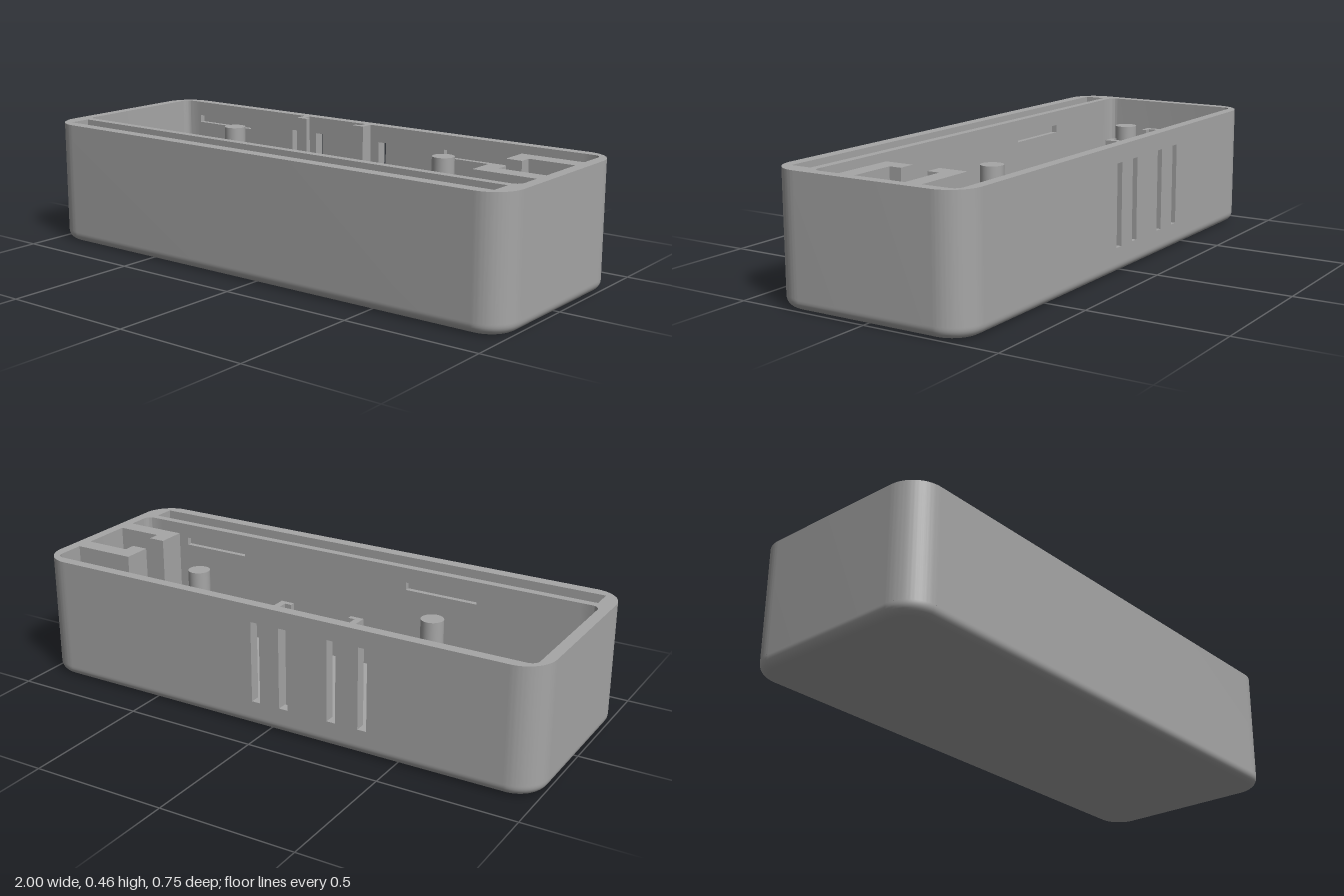
import * as THREE from 'three';
import { toCreasedNormals } from 'three/addons/utils/BufferGeometryUtils.js';

const TOP = 0.458, FLOOR = 0.04;
const CX = 0.89, CZ = 0.264, R = 0.11;   // outer corner centres and radius
const FILLET = 0.035;
const Q = Math.PI / 2;

// Rectangle path from x0..x1, y0..y1
function rect(x0, x1, y0, y1, Type = THREE.Shape) {
  const s = new Type();
  s.moveTo(x0, y0).lineTo(x1, y0).lineTo(x1, y1).lineTo(x0, y1).closePath();
  return s;
}

// Plan shape (x, z) extruded from the rim down to the floor
function upright(shape) {
  const g = new THREE.ExtrudeGeometry(shape, { depth: TOP - FLOOR, bevelEnabled: false, curveSegments: 14 });
  g.rotateX(Q).translate(0, TOP, 0);
  return toCreasedNormals(g, 0.5);
}

// Wall panel in the xy plane with rectangular openings [x0, x1, y0, y1]
function panel(z0, z1, openings) {
  const s = rect(-CX, CX, FLOOR, TOP);
  s.holes = openings.map((o) => rect(...o, THREE.Path));
  return new THREE.ExtrudeGeometry(s, { depth: z1 - z0, bevelEnabled: false }).translate(0, 0, z0);
}

// Rounded outline in plan with the given corner radius
function outline(r) {
  const pts = [];
  [[1, 1], [-1, 1], [-1, -1], [1, -1]].forEach(([sx, sz], k) => {
    for (let i = 0; i <= 14; i++) {
      const a = (k + i / 14) * Q;
      pts.push(new THREE.Vector2(sx * CX + r * Math.cos(a), sz * CZ + r * Math.sin(a)));
    }
  });
  return pts;
}

// Filleted lower edge, lofted from inset outlines
function baseEdge() {
  const rings = [];
  for (let i = 0; i <= 8; i++) {
    const a = (i / 8) * Q;
    rings.push([R - FILLET * (1 - Math.sin(a)), FILLET * (1 - Math.cos(a))]);
  }
  rings.push([R, FLOOR]);
  const pos = [], idx = [];
  rings.forEach(([r, y]) => outline(r).forEach((p) => pos.push(p.x, y, p.y)));
  const n = pos.length / 3 / rings.length;
  for (let i = 0; i < rings.length - 1; i++) {
    for (let j = 0; j < n; j++) {
      const a = i * n + j, b = i * n + (j + 1) % n;
      idx.push(a, a + n, b, b, a + n, b + n);
    }
  }
  const g = new THREE.BufferGeometry();
  g.setAttribute('position', new THREE.Float32BufferAttribute(pos, 3));
  g.setIndex(idx);
  g.computeVertexNormals();
  return g;
}

// Outer wall in plan, open at the back and recessed at the divider for panels
function wallShape() {
  const s = new THREE.Shape();
  s.moveTo(-CX, -CZ - R);
  s.absarc(-CX, -CZ, R, 3 * Q, 2 * Q, true);
  s.absarc(-CX, CZ, R, 2 * Q, Q, true);
  s.absarc(CX, CZ, R, Q, 0, true);
  s.absarc(CX, -CZ, R, 0, -Q, true);
  s.lineTo(CX, -0.335);
  s.absarc(0.93, -0.305, 0.03, -Q, 0, false);
  s.absarc(0.93, 0.19, 0.03, 0, Q, false);
  s.lineTo(CX, 0.22).lineTo(CX, 0.24).lineTo(-CX, 0.24).lineTo(-CX, 0.22);
  s.absarc(-0.93, 0.19, 0.03, Q, 2 * Q, false);
  s.absarc(-0.93, -0.305, 0.03, 2 * Q, 3 * Q, false);
  s.lineTo(-CX, -0.335);
  s.closePath();
  s.holes.push(rect(-0.94, 0.935, 0.25, 0.33, THREE.Path)); // front channel
  return s;
}

const polygon = (pts) => new THREE.Shape(pts.map(([x, z]) => new THREE.Vector2(x, z)));

export function createModel() {
  const group = new THREE.Group();
  const grey = new THREE.MeshStandardMaterial({ color: 0xa6a6a6 });
  grey.name = 'grey plastic';
  const add = (name, geometry) => {
    const m = new THREE.Mesh(geometry, grey);
    m.name = name;
    group.add(m);
    return m;
  };

  // Base
  add('baseEdge', baseEdge());
  add('underside', new THREE.ShapeGeometry(new THREE.Shape(outline(R - FILLET))).rotateX(Q));
  add('floor', new THREE.ShapeGeometry(new THREE.Shape(outline(R))).rotateX(-Q).translate(0, FLOOR, 0));

  // Walls
  add('outerWall', upright(wallShape()));
  const vents = [-0.373, -0.253, -0.062, 0.05].map((x) => [x - 0.017, x + 0.017, 0.095, 0.395]);
  const groove = (x0, x1) => [x0, x1, 0.373, 0.402];
  add('backWallOutside', panel(-0.374, -0.355, vents));
  add('backWallInside', panel(-0.355, -0.335, [...vents, groove(-0.885, -0.608), groove(0.328, 0.607)]));
  add('dividerFace', panel(0.22, 0.24, [groove(-0.504, -0.22), groove(0.49, 0.765)]));

  // Facing hooked rails on the back wall
  for (const side of [-1, 1]) {
    const pts = [[0.16, -0.335], [0.16, -0.285], [0.112, -0.285], [0.112, -0.303], [0.136, -0.303], [0.136, -0.335]];
    add(side < 0 ? 'backRailRight' : 'backRailLeft', upright(polygon(pts.map(([x, z]) => [-0.165 + side * x, z]))));
  }

  // Facing hooked holders on the end wall
  for (const side of [-1, 1]) {
    const pts = [[0.96, 0.16], [0.725, 0.16], [0.725, 0.052], [0.787, 0.052], [0.787, 0.097], [0.96, 0.097]];
    add(side < 0 ? 'endHolderBack' : 'endHolderFront', upright(polygon(pts.map(([x, z]) => [x, -0.045 + side * z]))));
  }

  // Posts
  [[-0.49, -0.105], [0.463, -0.12]].forEach(([x, z], i) => {
    const h = 0.43 - FLOOR;
    add(i ? 'postLeft' : 'postRight', new THREE.CylinderGeometry(0.04, 0.04, h, 32)).position.set(x, FLOOR + h / 2, z);
  });

  return group;
}
